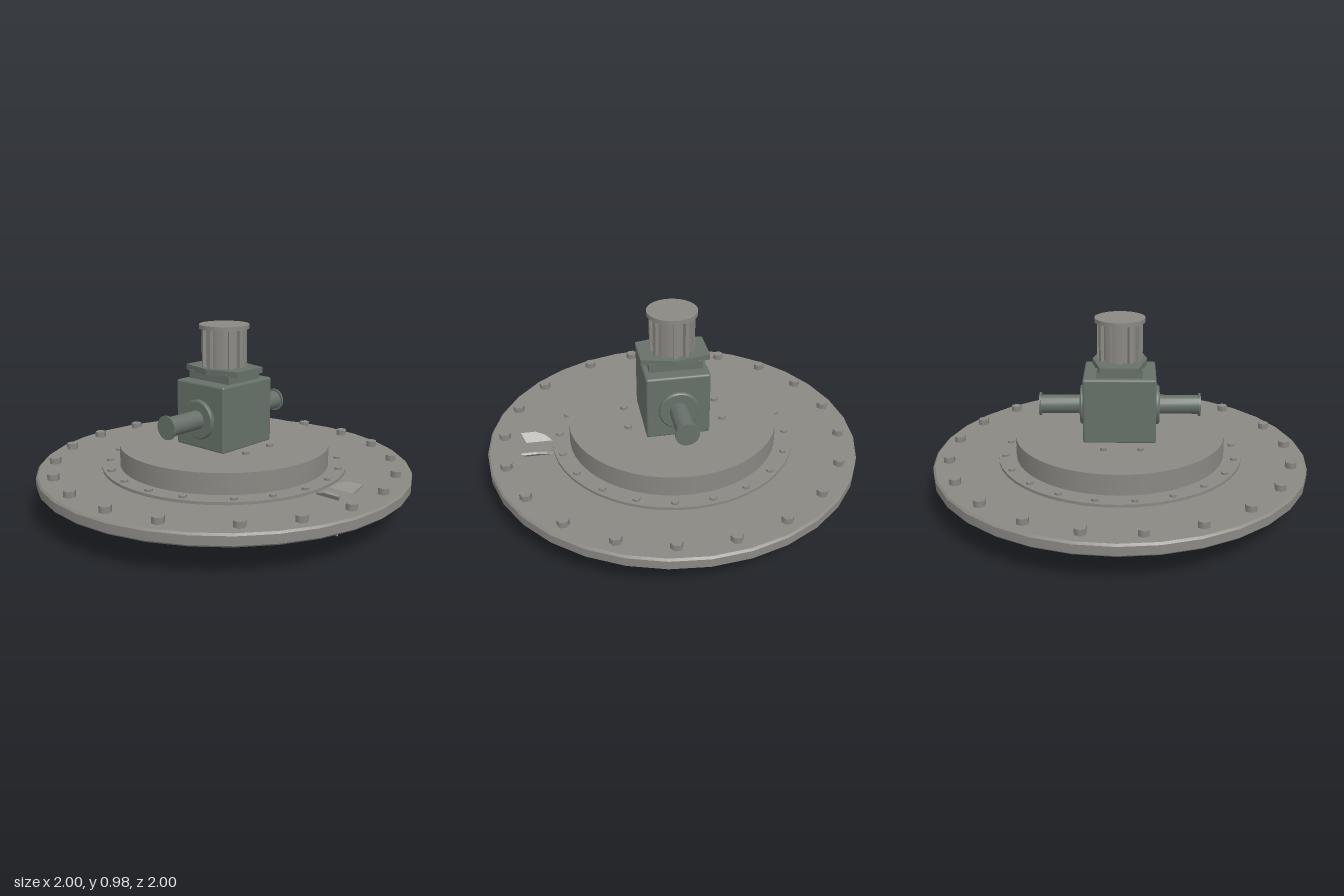
import * as THREE from 'three';
import { RoundedBoxGeometry } from 'three/addons/geometries/RoundedBoxGeometry.js';
import { toCreasedNormals } from 'three/addons/utils/BufferGeometryUtils.js';

const steel = new THREE.MeshStandardMaterial({ color: 0x8a8883 });
const green = new THREE.MeshStandardMaterial({ color: 0x667069 });
const thin = new THREE.MeshStandardMaterial({ color: 0x9a9994, side: THREE.DoubleSide });

export function createModel() {
  const model = new THREE.Group();

  function add(name, geometry, material, x = 0, y = 0, z = 0, parent = model) {
    const mesh = new THREE.Mesh(geometry, material);
    mesh.name = name;
    mesh.position.set(x, y, z);
    parent.add(mesh);
    return mesh;
  }
  // upright cylinder between two heights
  const drum = (name, r, y0, y1, sides, mat, x = 0, z = 0, rBottom = r) =>
    add(name, new THREE.CylinderGeometry(r, rBottom, y1 - y0, sides), mat, x, (y0 + y1) / 2, z);
  const lathe = (pts, sides) => toCreasedNormals(
    new THREE.LatheGeometry(pts.map(p => new THREE.Vector2(...p)), sides), 0.6);
  const prism = (pts, depth) => new THREE.ExtrudeGeometry(
    new THREE.Shape(pts.map(p => new THREE.Vector2(...p))), { depth, bevelEnabled: false })
    .translate(0, 0, -depth / 2);

  // base plate with softened rim, collar and raised deck
  add('basePlate', lathe([[0, 0.155], [0.99, 0.155], [1, 0.165], [1, 0.21], [0.99, 0.22], [0, 0.22]], 32), steel);
  drum('collar', 0.655, 0.215, 0.235, 48, steel);
  drum('deck', 0.56, 0.23, 0.345, 48, steel);

  // two bolt circles and four deck bolts
  for (let i = 0; i < 20; i++) {
    const a = THREE.MathUtils.degToRad(246 + 17.75 * i);
    const s = Math.sin(a), c = -Math.cos(a);
    drum('plateBolt', 0.031, 0.22, 0.252, 6, steel, 0.915 * s, 0.915 * c);
    drum('collarBolt', 0.02, 0.23, 0.247, 6, steel, 0.617 * s, 0.617 * c);
  }
  for (const x of [-0.11, 0.08]) for (const z of [-0.26, 0.25])
    drum('deckBolt', 0.02, 0.345, 0.36, 6, steel, x, z);

  // gear housing
  add('housing', new RoundedBoxGeometry(0.38, 0.35, 0.335, 2, 0.012), green, 0, 0.515, 0);

  // side shafts with base and end flanges
  for (const side of [-1, 1]) {
    const shaft = add('sideShaft', lathe([[0, 0.18], [0.105, 0.18], [0.105, 0.203], [0.098, 0.21],
      [0.05, 0.21], [0.05, 0.418], [0.062, 0.418], [0.062, 0.428], [0, 0.428]], 28), green, 0, 0.5, 0);
    shaft.rotation.z = -side * Math.PI / 2;
  }

  // round port on the rear face
  const port = add('rearPort', lathe([[0, 0], [0.035, 0], [0.04, 0.012], [0.07, 0.012], [0.075, 0]], 28),
    green, -0.06, 0.5, -0.166);
  port.rotation.x = -Math.PI / 2;

  // mounting plate and ribbed motor
  add('motorNeck', new THREE.BoxGeometry(0.24, 0.05, 0.28), green, 0, 0.71, 0);
  const plate = add('motorPlate', prism([[-0.1, -0.18], [0.1, -0.18], [0.143, 0], [0.1, 0.18],
    [-0.1, 0.18], [-0.143, 0]], 0.03), green, 0, 0.742, 0);
  plate.rotation.x = Math.PI / 2;
  drum('motorCore', 0.1, 0.75, 0.96, 32, steel);
  for (let i = 0; i < 12; i++) {
    const a = (i / 12) * Math.PI * 2;
    const rib = add('motorRib', new THREE.BoxGeometry(0.03, 0.2, 0.022), steel,
      0.104 * Math.cos(a), 0.857, 0.104 * Math.sin(a));
    rib.rotation.y = -a;
  }
  drum('motorCap', 0.132, 0.955, 0.977, 32, steel);

  // long pods under the plate, each on three small feet
  for (const x of [-0.36, 0.36]) {
    const pod = add('pod', prism([[-0.64, 0.16], [-0.63, 0.11], [-0.45, 0.078], [0.03, 0.078],
      [0.05, 0.1], [0.65, 0.112], [0.65, 0.16]], 0.116), green, x, 0, 0);
    pod.rotation.y = -Math.PI / 2;
    for (const [z, lean] of [[0.17, -0.02], [0.03, 0], [-0.355, 0.005]]) {
      const path = new THREE.LineCurve3(new THREE.Vector3(x, 0.025, z), new THREE.Vector3(x, 0.11, z + lean));
      add('footStem', new THREE.TubeGeometry(path, 1, 0.01, 8), green);
      const foot = drum('foot', 0.031, 0.02, 0.036, 4, green, x, z, 0.045);
      foot.rotation.y = Math.PI / 4;
      add('footPad', new THREE.BoxGeometry(0.06, 0.022, 0.07), green, x, 0.011, z);
    }
  }

  // slender finned body half sunk in the underside, nose to the rear
  const dart = new THREE.Group();
  dart.name = 'finnedBody';
  dart.position.y = 0.156;
  model.add(dart);
  const body = add('body', lathe([[0, -0.78], [0.035, -0.78], [0.055, -0.6], [0.055, 0.42], [0.059, 0.43],
    [0.059, 0.46], [0.052, 0.47], [0.052, 0.53], [0.056, 0.54], [0.045, 0.62], [0.025, 0.73], [0, 0.83]], 24),
    thin, 0, 0, 0, dart);
  body.rotation.x = -Math.PI / 2;

  // crossed fins; profile is z along, radius outward
  const tailFin = [[0.6, 0.03], [0.69, 0.12], [0.74, 0.142], [0.82, 0.142], [0.77, 0.03]];
  const noseFin = [[-0.42, 0.03], [-0.34, 0.12], [-0.28, 0.12], [-0.28, 0.03]];
  const strake = [[-0.2, 0.03], [-0.16, 0.068], [0.3, 0.068], [0.32, 0.03]];
  for (let i = 0; i < 4; i++) {
    const cross = new THREE.Group();
    cross.name = 'finSet';
    cross.rotation.z = Math.PI / 4 + i * Math.PI / 2;
    dart.add(cross);
    const sets = [['tailFin', tailFin, 0.012]];
    if (i === 1 || i === 2) sets.push(['noseFin', noseFin, 0.01], ['strake', strake, 0.01]);
    for (const [name, pts, depth] of sets)
      add(name, prism(pts, depth), thin, 0, 0, 0, cross).rotation.y = -Math.PI / 2;
  }
  return model;
}
